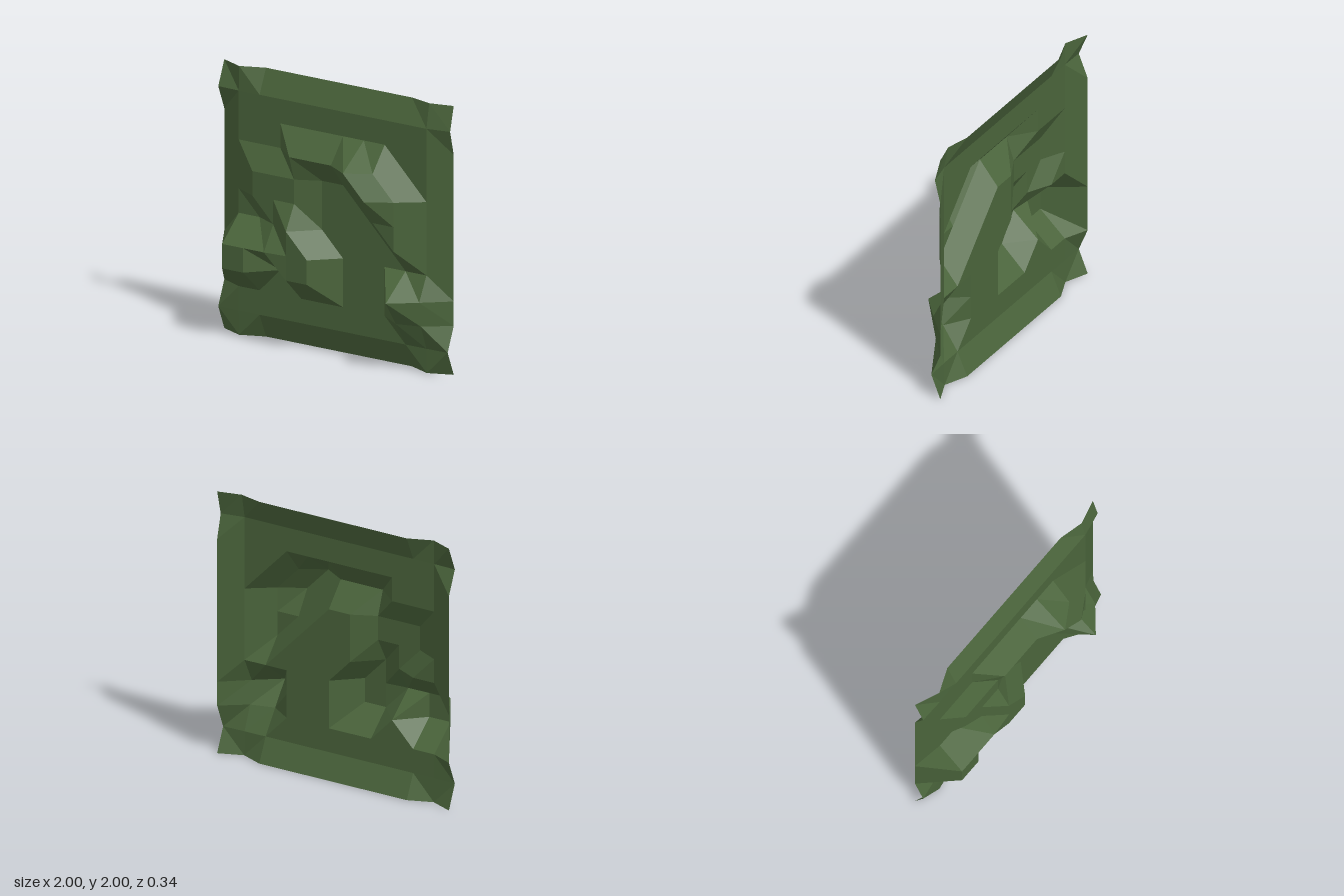
import * as THREE from 'three';

const CELLS = 11;
const FLOOR = -0.09;
const RIM = -0.17;

// Raised points of the relief: row -> { column: depth }, rows counted from the bottom.
const RAISED = {
  2: { 9: 0.03, 10: -0.02 },
  3: { 1: 0.115, 2: 0.115, 4: 0.1, 5: 0.1, 9: 0.155, 10: 0 },
  4: { 1: 0.115, 2: 0.115, 3: 0.115, 4: 0.1, 5: 0.1 },
  5: { 3: 0, 4: 0.1, 9: 0.06 },
  6: { 2: 0, 3: 0, 4: 0, 8: 0.06, 9: 0.06 },
  7: { 2: 0, 3: 0, 4: 0, 7: 0.06, 8: 0.17, 9: 0.06 },
  8: { 4: 0.06, 5: 0.06, 6: 0.06, 7: 0.17, 8: 0.06 },
};

// Cells ("column,row") whose diagonal rises to the right.
const RISING = new Set(['0,1', '0,2', '0,4', '0,9', '1,0', '10,0', '2,2']);

function depthAt(i, j) {
  const edgeX = i === 0 || i === CELLS;
  const edgeY = j === 0 || j === CELLS;
  if (edgeX || edgeY) {
    // The rim drops back, except right beside each corner.
    const nearX = edgeY && (i === 1 || i === CELLS - 1);
    const nearY = edgeX && (j === 1 || j === CELLS - 1);
    if (!nearX && !nearY) return RIM;
    return i >= CELLS - 1 && j >= CELLS - 1 ? -0.125 : FLOOR - 0.005;
  }
  return RAISED[j]?.[i] ?? FLOOR;
}

// Faceted sheet over a square grid, facing +z.
function reliefGeometry() {
  const positions = [];
  const index = [];
  const step = 2 / CELLS;
  for (let j = 0; j <= CELLS; j++) {
    for (let i = 0; i <= CELLS; i++) {
      positions.push(-1 + i * step, j * step, depthAt(i, j));
    }
  }
  for (let j = 0; j < CELLS; j++) {
    for (let i = 0; i < CELLS; i++) {
      const a = j * (CELLS + 1) + i;
      const b = a + 1;
      const c = b + CELLS + 1;
      const d = c - 1;
      if (RISING.has(`${i},${j}`)) index.push(a, b, c, a, c, d);
      else index.push(a, b, d, b, c, d);
    }
  }
  const indexed = new THREE.BufferGeometry();
  indexed.setAttribute('position', new THREE.Float32BufferAttribute(positions, 3));
  indexed.setIndex(index);
  const geometry = indexed.toNonIndexed();
  geometry.computeVertexNormals();
  return geometry;
}

export function createModel() {
  const group = new THREE.Group();
  group.name = 'reliefPanel';
  const mossGreen = new THREE.MeshStandardMaterial({
    color: 0x4a643b,
    flatShading: true,
    side: THREE.DoubleSide,
  });
  mossGreen.name = 'mossGreen';
  const relief = new THREE.Mesh(reliefGeometry(), mossGreen);
  relief.name = 'terrainSheet';
  group.add(relief);
  return group;
}
